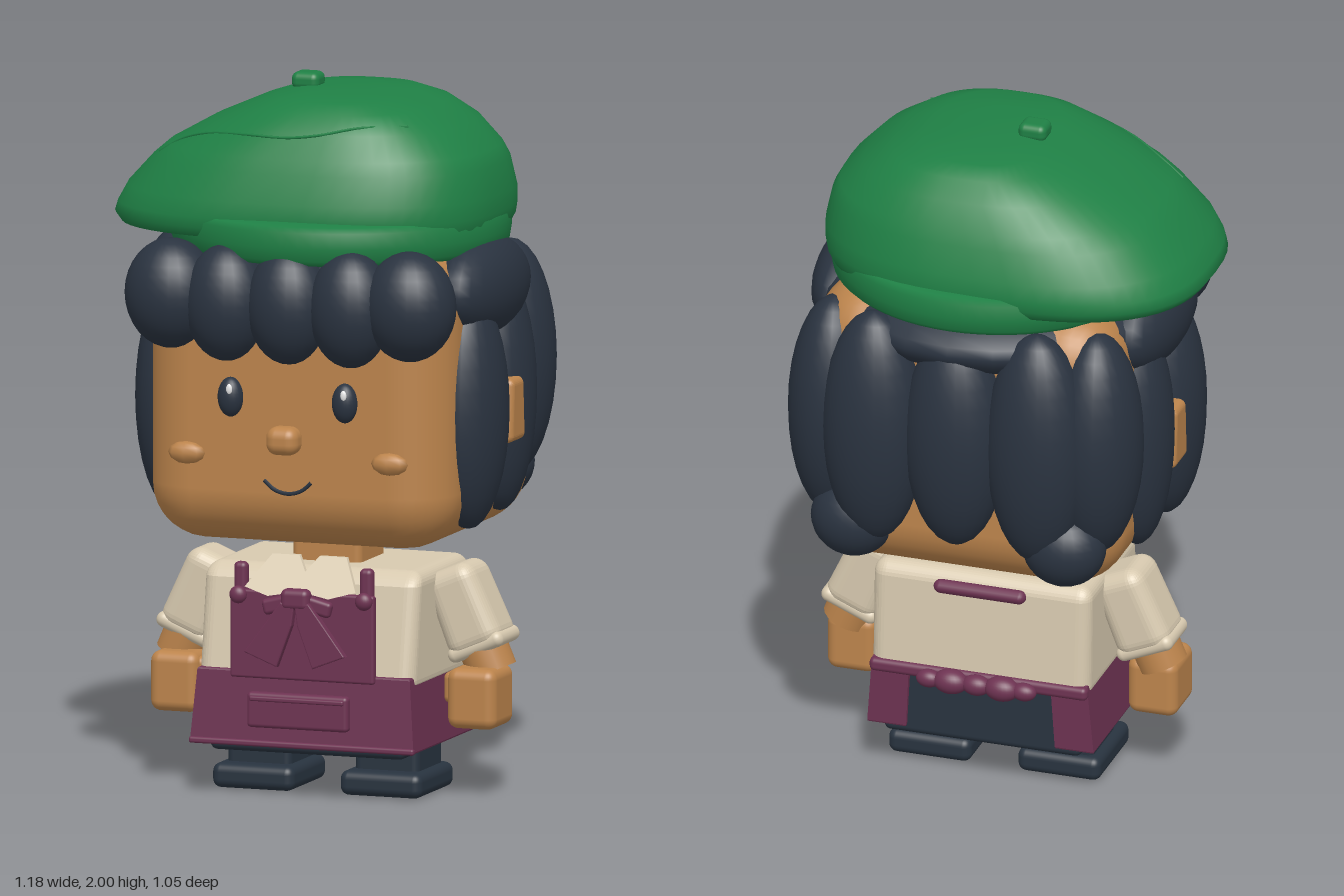
import * as THREE from 'three';
import { RoundedBoxGeometry } from 'three/addons/geometries/RoundedBoxGeometry.js';

const mat = (name, color) => {
  const m = new THREE.MeshStandardMaterial({ color });
  m.name = name;
  return m;
};

// Hat crown levels: y, left x, right x, half depth
const CROWN = [
  [1.575, -0.5, 0.44, 0.36], [1.585, -0.575, 0.5, 0.41], [1.61, -0.593, 0.513, 0.42], [1.64, -0.583, 0.517, 0.425],
  [1.69, -0.555, 0.517, 0.418], [1.77, -0.482, 0.5, 0.39], [1.81, -0.435, 0.478, 0.372],
  [1.88, -0.31, 0.41, 0.337], [1.93, -0.195, 0.325, 0.292], [1.955, -0.12, 0.24, 0.24], [1.965, -0.05, 0.14, 0.13],
];
const POW = 2.6, HAT_Z = -0.015;

function crownGeometry(seg = 56) {
  const pos = [], idx = [];
  const root = v => Math.sign(v) * Math.pow(Math.abs(v), 2 / POW);
  for (const [y, l, r, hz] of CROWN)
    for (let i = 0; i < seg; i++) {
      const a = (i / seg) * Math.PI * 2;
      pos.push((l + r) / 2 + root(Math.cos(a)) * (r - l) / 2, y, HAT_Z + root(Math.sin(a)) * hz);
    }
  const n = CROWN.length;
  for (let k = 0; k < n - 1; k++)
    for (let i = 0; i < seg; i++) {
      const a = k * seg + i, b = k * seg + (i + 1) % seg;
      idx.push(a, a + seg, b, b, a + seg, b + seg);
    }
  pos.push(-0.03, 1.575, HAT_Z, 0.045, 1.967, HAT_Z);
  for (let i = 0; i < seg; i++) {
    const j = (i + 1) % seg, t = (n - 1) * seg;
    idx.push(n * seg, i, j, n * seg + 1, t + j, t + i);
  }
  const g = new THREE.BufferGeometry();
  g.setAttribute('position', new THREE.Float32BufferAttribute(pos, 3));
  g.setIndex(idx);
  g.computeVertexNormals();
  return g;
}

// Point on the front of the crown at a given x and y
function crownPoint(x, y) {
  let k = 0;
  while (CROWN[k + 1][0] < y) k++;
  const t = (y - CROWN[k][0]) / (CROWN[k + 1][0] - CROWN[k][0]);
  const [l, r, hz] = [1, 2, 3].map(i => CROWN[k][i] * (1 - t) + CROWN[k + 1][i] * t);
  const u = Math.min(0.97, Math.abs((x - (l + r) / 2) / ((r - l) / 2)));
  return new THREE.Vector3(x, y, HAT_Z + hz * Math.pow(1 - Math.pow(u, POW), 1 / POW));
}

export function createModel() {
  const green = mat('hat green', 0x1f8045), hair = mat('hair blue black', 0x2a3340);
  const skin = mat('skin brown', 0xbc844c), cream = mat('shirt cream', 0xd7c9af);
  const plum = mat('apron plum', 0x6e3352), navy = mat('trouser navy', 0x28333f);
  const white = mat('eye white', 0xf2f2f2);

  const root = new THREE.Group();
  root.name = 'figure';
  const body = new THREE.Group();
  body.name = 'body';
  body.position.x = 0.042;
  root.add(body);

  const add = (name, geo, m, x = 0, y = 0, z = 0, parent = body) => {
    const o = new THREE.Mesh(geo, m);
    o.name = name;
    o.position.set(x, y, z);
    parent.add(o);
    return o;
  };
  const box = (w, h, d, r) => new RoundedBoxGeometry(w, h, d, 4, r);
  const blob = (name, m, x, y, z, rx, ry, rz) => {
    const o = add(name, new THREE.SphereGeometry(1, 24, 16), m, x, y, z);
    o.scale.set(rx, ry, rz);
    return o;
  };
  const shape = pts => new THREE.Shape(pts.map(p => new THREE.Vector2(...p)));
  const warp = (g, f) => {
    const p = g.attributes.position, v = new THREE.Vector3();
    for (let i = 0; i < p.count; i++) {
      f(v.fromBufferAttribute(p, i));
      p.setXYZ(i, v.x, v.y, v.z);
    }
    g.computeVertexNormals();
    return g;
  };

  // Head and face
  add('head', box(0.905, 0.84, 0.82, 0.16), skin, 0, 1.14, 0.01);
  add('neck', box(0.205, 0.16, 0.2, 0.02), skin, 0, 0.69, 0.02);
  add('nose', box(0.095, 0.08, 0.08, 0.032), skin, 0, 1.035, 0.452);
  const smile = new THREE.CatmullRomCurve3([[-0.07, 0.915], [-0.04, 0.89], [0, 0.88], [0.04, 0.89], [0.07, 0.915]]
    .map(([x, y]) => new THREE.Vector3(x, y, 0.421)));
  add('mouth', new THREE.TubeGeometry(smile, 20, 0.006, 6), hair);

  // Bangs: five plump curls
  [-0.355, -0.185, 0, 0.185, 0.355].forEach((x, i) => {
    const end = i % 4 === 0;
    blob('bangCurl', hair, x, end ? 1.425 : 1.41, end ? 0.4 : 0.415, end ? 0.132 : 0.12, end ? 0.155 : 0.165, end ? 0.12 : 0.108);
  });
  blob('hairCap', hair, 0, 1.46, -0.01, 0.5, 0.14, 0.47);

  // Three locks down the back
  for (const x of [-0.24, 0, 0.24]) blob('backLock', hair, x, 1.18, -0.4, 0.148, x ? 0.35 : 0.33, 0.122);

  for (const s of [-1, 1]) {
    // Eyes, cheeks and ears
    blob('eye', hair, s * 0.17, 1.145, 0.422, 0.037, 0.056, 0.033);
    blob('eyeHighlight', white, s * 0.17 + 0.006, 1.17, 0.45, 0.009, 0.015, 0.006);
    const cheek = add('cheek', new THREE.SphereGeometry(1, 8, 6), skin, s * 0.302, 0.98, 0.42);
    cheek.scale.set(0.055, 0.032, 0.03);
    const ear = warp(box(0.1, 0.18, 0.12, 0.02), v => { v.z *= 0.88 + v.y * -1.4; });
    add('ear', ear, skin, s * 0.48, 1.085, 0);

    // Side and corner hair
    blob('sideTuft', hair, s * 0.43, 1.435, 0.03, 0.107, 0.14, 0.265);
    blob('frontSideLock', hair, s * 0.435, 1.1, 0.148, 0.11, 0.335, 0.145);
    blob('rearSideLock', hair, s * 0.435, 1.12, -0.1, 0.1, 0.34, 0.128);
    blob('cornerLock', hair, s * 0.385, 1.18, -0.31, 0.13, 0.335, 0.148);
    blob('napeCurl', hair, s * 0.31, 0.875, -0.375, 0.12, 0.115, 0.1);
  }

  // Hat: band, leaning crown, seam and button
  const band = [[0.4, 1.535], [0.455, 1.53], [0.47, 1.545], [0.476, 1.58], [0.476, 1.625], [0.462, 1.64], [0.4, 1.645]]
    .map(p => new THREE.Vector2(...p));
  add('hatBand', new THREE.LatheGeometry(band, 64), green);
  add('hatUnderside', new THREE.CylinderGeometry(0.42, 0.42, 0.08, 48), green, 0, 1.58, 0);
  add('hatCrown', crownGeometry(), green, 0, 0, 0, root);
  const seam = new THREE.CatmullRomCurve3([[-0.43, 1.785], [-0.36, 1.825], [-0.26, 1.856], [-0.12, 1.868], [0, 1.868],
    [0.1, 1.88], [0.2, 1.9], [0.32, 1.9]].map(p => crownPoint(...p)));
  add('hatSeam', new THREE.TubeGeometry(seam, 48, 0.004, 6), green, 0, 0, 0, root);
  add('hatButton', box(0.082, 0.05, 0.075, 0.02), green, -0.065, 1.975, -0.025, root);

  // Shirt, rounding in toward the shoulders
  const torso = warp(box(0.64, 0.34, 0.49, 0.04), v => {
    const t = Math.max(0, (v.y + 0.02) / 0.19);
    v.z = (v.z + 0.045) * (1 - 0.2 * t * t) - 0.015 * t * t;
  });
  add('shirt', torso, cream, 0, 0.475, 0);

  // Arms
  for (const s of [-1, 1]) {
    const arm = new THREE.Group();
    arm.name = 'arm';
    arm.position.set(s * 0.35, 0.62, 0.025);
    arm.rotation.z = s * 0.4;
    body.add(arm);
    const sleeve = warp(box(0.16, 0.25, 0.175, 0.045), v => { v.x *= 1 - v.y * 0.5; });
    add('sleeve', sleeve, cream, 0, -0.105, 0, arm);
    add('cuff', box(0.175, 0.045, 0.165, 0.022), cream, 0, -0.215, 0, arm);
    add('forearm', new THREE.CylinderGeometry(0.07, 0.07, 0.08, 20), skin, 0, -0.255, 0.01, arm);
    add('hand', box(0.145, 0.17, 0.17, 0.03), skin, s * 0.442, 0.283, 0.075);
    add('thumb', box(0.045, 0.09, 0.075, 0.02), skin, s * 0.375, 0.31, 0.1);
  }

  // Collar flaps and neckerchief tails
  for (const s of [-1, 1]) {
    const flip = pts => pts.map(([x, y]) => [x * s, y]);
    const flap = new THREE.ExtrudeGeometry(
      shape(flip([[0, 0.64], [0, 0.59], [0.09, 0.575], [0.165, 0.595], [0.11, 0.68], [0.03, 0.68]])),
      { depth: 0.014, bevelEnabled: false });
    add('collarFlap', warp(flap, v => { v.z += 0.325 - (v.y - 0.58) * 0.9; }), cream);
    const tail = new THREE.ExtrudeGeometry(
      shape(flip([[0.005, 0.55], [0.04, 0.56], [0.145, 0.42], [0.055, 0.385], [0.012, 0.5]])),
      { depth: 0.018, bevelEnabled: true, bevelSize: 0.004, bevelThickness: 0.004, bevelSegments: 2 });
    add('tieTail', tail, plum, 0, 0, 0.352);
    const loop = add('tieLoop', box(0.085, 0.045, 0.03, 0.012), plum, s * 0.06, 0.553, 0.345);
    loop.rotation.z = s * -0.25;
    // Bib straps with buttons
    add('strap', box(0.04, 0.11, 0.035, 0.015), plum, s * 0.187, 0.605, 0.29);
    blob('strapButton', plum, s * 0.187, 0.57, 0.318, 0.025, 0.025, 0.02);
  }
  add('tieKnot', box(0.085, 0.06, 0.045, 0.018), plum, 0, 0.572, 0.355);

  // Apron: bib, open-backed skirt, hem and pocket
  add('bib', box(0.428, 0.25, 0.025, 0.008), plum, 0, 0.46, 0.3);
  const plan = shape([[-0.32, 0.3], [-0.32, -0.19], [-0.22, -0.19], [-0.22, -0.15], [-0.28, -0.15], [-0.28, 0.26],
    [0.28, 0.26], [0.28, -0.15], [0.22, -0.15], [0.22, -0.19], [0.32, -0.19], [0.32, 0.3]]);
  const skirt = new THREE.ExtrudeGeometry(plan, { depth: 0.2, bevelEnabled: true, bevelSize: 0.006, bevelThickness: 0.006, bevelSegments: 2 });
  // Stand the plan upright and flare it toward the hem
  skirt.rotateX(Math.PI / 2);
  warp(skirt, v => {
    const f = 1 - v.y * 0.25 - 0.03;
    v.x *= f;
    v.z *= v.z > 0 ? f : 0.98 + v.y * 0.2;
  });
  add('apronSkirt', skirt, plum, 0, 0.35, 0);
  add('hem', box(0.67, 0.018, 0.02, 0.007), plum, 0, 0.152, 0.31);
  add('pocket', box(0.3, 0.1, 0.035, 0.012), plum, 0, 0.252, 0.335);
  add('pocketRim', box(0.28, 0.014, 0.014, 0.005), plum, 0, 0.285, 0.352);

  // Apron ties at the back
  add('waistTie', box(0.64, 0.04, 0.035, 0.015), plum, 0, 0.335, -0.195);
  for (const [x, r] of [[-0.14, 0.026], [-0.075, 0.036], [0, 0.03], [0.075, 0.036], [0.14, 0.026]])
    blob('backBow', plum, x, 0.325, -0.22, r * 1.4, r, r);
  const bar = add('neckTie', new THREE.CapsuleGeometry(0.02, 0.23, 6, 12), plum, 0, 0.6, -0.188);
  bar.rotation.z = Math.PI / 2;

  // Trousers, legs and shoes
  add('trousers', box(0.58, 0.24, 0.45, 0.02), navy, 0, 0.24, 0.05);
  for (const s of [-1, 1]) {
    add('leg', box(0.19, 0.12, 0.2, 0.02), navy, s * 0.19, 0.11, 0.05);
    add('shoe', box(0.243, 0.07, 0.28, 0.025), navy, s * 0.19, 0.035, 0.065);
  }
  return root;
}
